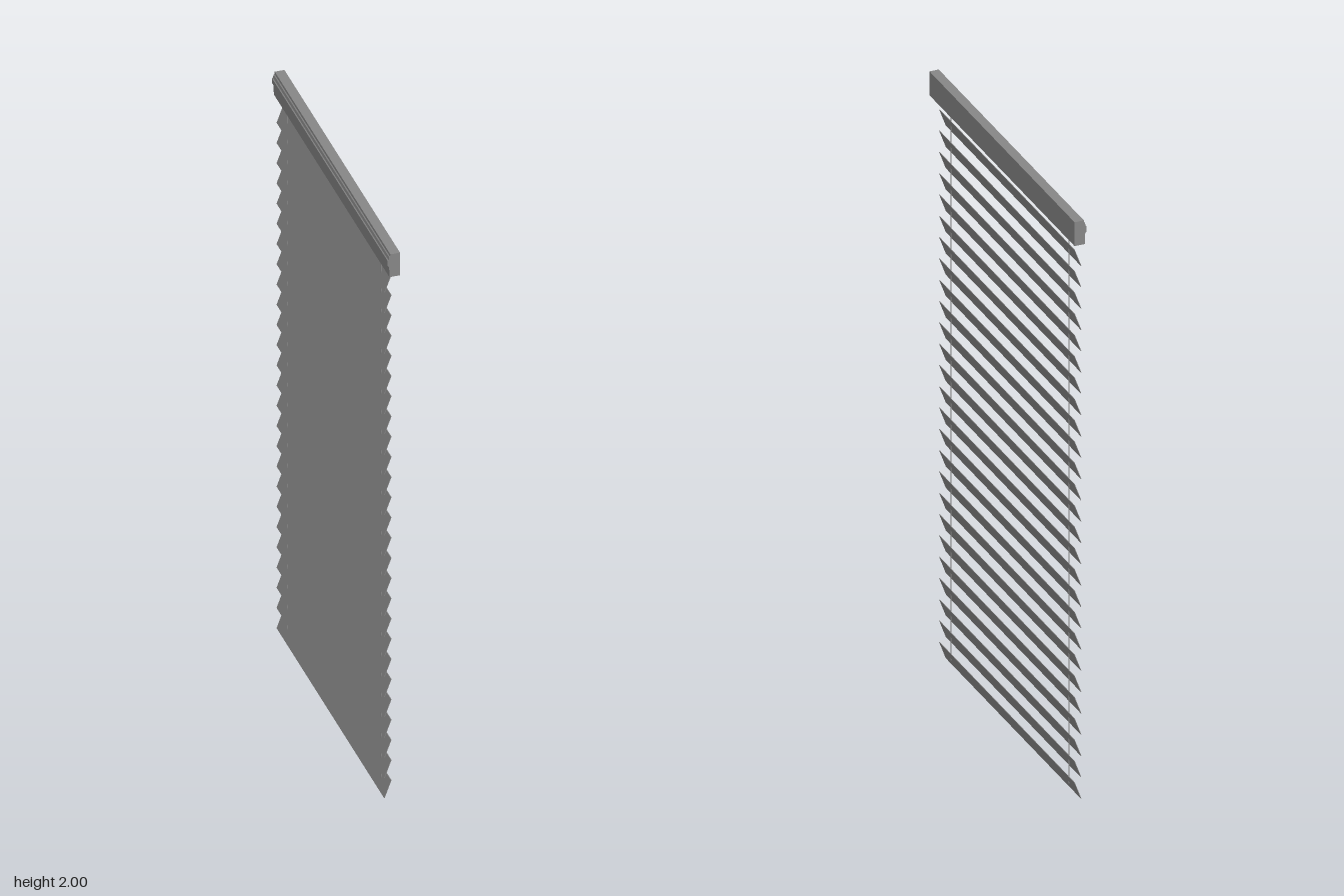
import * as THREE from 'three';

const material = new THREE.MeshStandardMaterial({ color: 0x868686, flatShading: true });

// Extrude an [x, y] profile along z, centred on the given z
function extrudeZ(points, length, centreZ) {
  const shape = new THREE.Shape(points.map(([x, y]) => new THREE.Vector2(x, y)));
  const geometry = new THREE.ExtrudeGeometry(shape, { depth: length, bevelEnabled: false });
  return geometry.translate(0, 0, centreZ - length / 2);
}

function addMesh(parent, name, geometry) {
  const mesh = new THREE.Mesh(geometry, material);
  mesh.name = name;
  parent.add(mesh);
  return mesh;
}

export function createModel() {
  const model = new THREE.Group();
  model.name = 'windowBlind';

  // Head rail with a stepped moulding along its -x face
  addMesh(model, 'headRail', extrudeZ([
    [0.02, 1.918], [0.02, 2], [-0.011, 2], [-0.012, 1.992],
    [-0.015, 1.99], [-0.017, 1.98], [-0.02, 1.978], [-0.02, 1.961],
    [-0.015, 1.953], [-0.014, 1.918],
  ], 1.09, 0));

  // Tilted slats, evenly spaced, high edge towards +x
  const slatCount = 26;
  const pitch = 1.831 / (slatCount - 1);
  const slatGeometry = extrudeZ([
    [-0.014, 0], [-0.012, 0], [0.01, 0.06], [0.008, 0.06],
  ], 1.014, -0.0125);
  const slats = new THREE.Group();
  slats.name = 'slats';
  model.add(slats);
  for (let i = 0; i < slatCount; i++) {
    addMesh(slats, 'slat', slatGeometry).position.y = i * pitch;
  }

  // Two cords hanging from the head rail through the slats
  const cordGeometry = new THREE.CylinderGeometry(0.002, 0.002, 1.9, 8);
  for (const z of [0.43, -0.455]) {
    addMesh(model, 'cord', cordGeometry).position.set(-0.001, 0.975, z);
  }
  return model;
}
